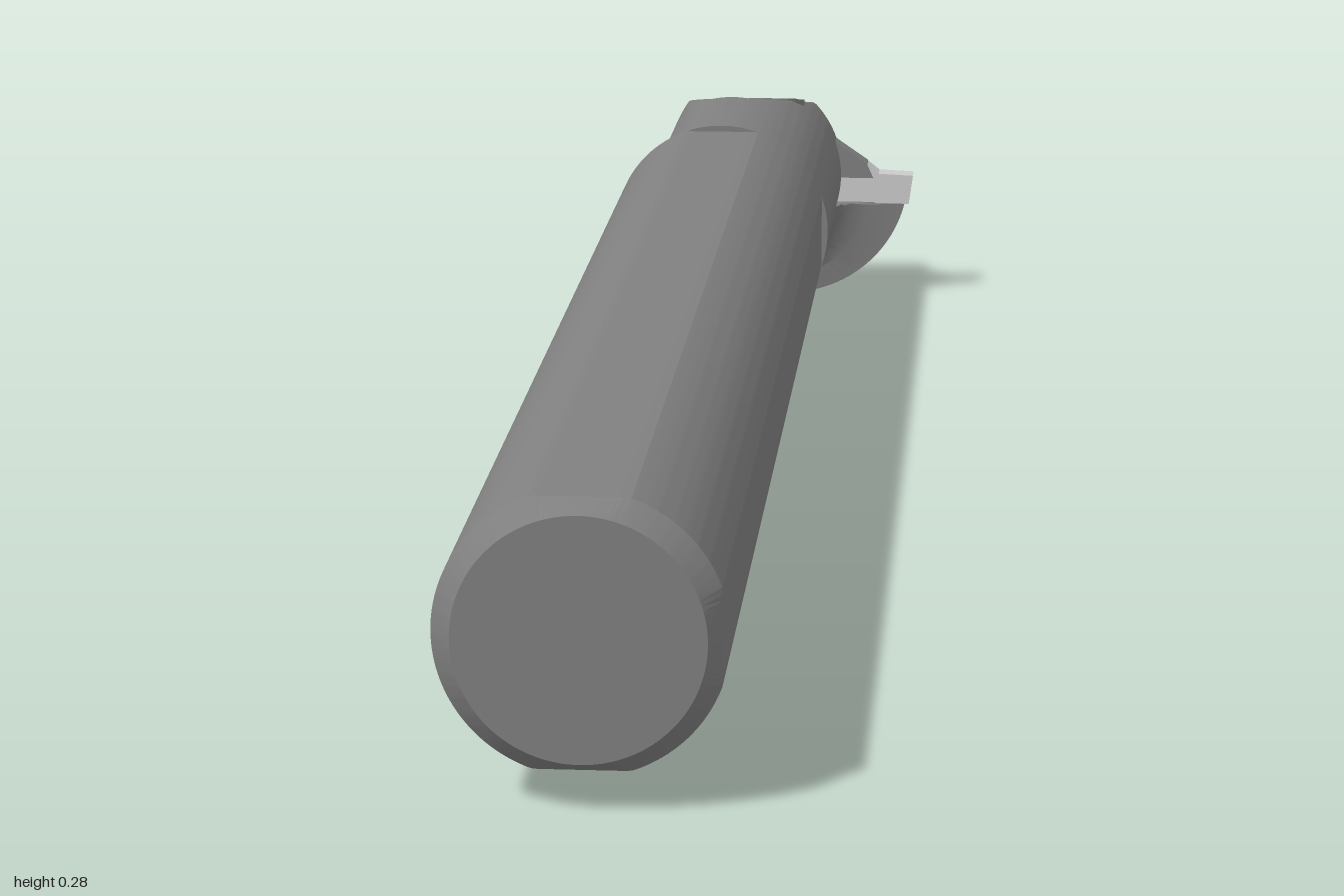
import * as THREE from 'three';
import { toCreasedNormals } from 'three/addons/utils/BufferGeometryUtils.js';

const steel = new THREE.MeshStandardMaterial({ color: 0x808080 });
const carbide = new THREE.MeshStandardMaterial({ color: 0xcccccc });

// Limits of a cross-section: distance from c along (dx, dy) to a circle or a straight edge
const circle = (x, y, radius) => (c, dx, dy) => {
  const ox = c[0] - x, oy = c[1] - y, b = ox * dx + oy * dy;
  return -b + Math.sqrt(b * b - ox * ox - oy * oy + radius * radius);
};
const edge = (nx, ny, k) => (c, dx, dy) => {
  const d = nx * dx + ny * dy;
  return d > 1e-6 ? (k - nx * c[0] - ny * c[1]) / d : Infinity;
};

// Solid through sections running from +z to -z; each section is { z, limits }
function loft(c, sections, n = 144) {
  const pos = [], index = [], last = (sections.length - 1) * n;
  for (const { z, limits } of sections) {
    for (let i = 0; i < n; i++) {
      const a = (i / n) * Math.PI * 2, dx = Math.cos(a), dy = Math.sin(a);
      const r = Math.min(...limits.map(f => f(c, dx, dy)));
      pos.push(c[0] + dx * r, c[1] + dy * r, z);
    }
  }
  const front = pos.length / 3, back = front + 1;
  pos.push(c[0], c[1], sections[0].z, c[0], c[1], sections[sections.length - 1].z);
  for (let i = 0; i < n; i++) {
    const j = (i + 1) % n;
    for (let k = 0; k < last; k += n) {
      index.push(k + i, k + n + i, k + j, k + j, k + n + i, k + n + j);
    }
    index.push(front, i, j, back, last + j, last + i);
  }
  const g = new THREE.BufferGeometry();
  g.setAttribute('position', new THREE.Float32BufferAttribute(pos, 3));
  g.setIndex(index);
  return toCreasedNormals(g, 0.2);
}

function plate(points, z0, z1) {
  const shape = new THREE.Shape(points.map(p => new THREE.Vector2(...p)));
  return new THREE.ExtrudeGeometry(shape, { depth: z1 - z0, bevelEnabled: false }).translate(0, 0, z0);
}

export function createModel() {
  const group = new THREE.Group();
  const add = (name, geometry, material = steel) => {
    const mesh = new THREE.Mesh(geometry, material);
    mesh.name = name;
    group.add(mesh);
    return mesh;
  };

  const axis = [-0.047, 0.153];
  const round = circle(...axis, 0.125);
  const disc = circle(0.01, 0.153, 0.152);

  // Shank: round bar with three flats and a chamfered end
  const flats = [round, edge(0, 1, 0.271), edge(0, -1, -0.035), edge(1, 0, 0.071)];
  add('shank', loft(axis, [
    { z: 1, limits: [circle(...axis, 0.107)] },
    { z: 0.98, limits: flats },
    { z: -0.63, limits: flats },
  ]));

  // Rounded corner on the outer end of the head
  const corner = z => {
    const t = Math.max(0, (-0.95 - z) / 0.05);
    return edge(-1, 0, 0.142 - 0.045 * (1 - Math.sqrt(Math.max(0, 1 - t * t))));
  };

  // Neck and head: relieved on one side, with a sloping clamp face on top
  const headSections = [{ z: -0.63, limits: [round, disc] }, { z: -0.819, limits: [round, disc] }];
  for (let i = 0; i <= 30; i++) {
    const z = -0.82 - 0.006 * i;
    headSections.push({ z, limits: [round, disc, edge(0, 1, 0.275 - 0.035 * i / 30), corner(z)] });
  }
  add('neckAndHead', loft(axis, headSections));

  // Support flange under the insert, with a fillet into the neck
  const flangeSections = [];
  for (let i = 0; i <= 8; i++) {
    const s = i / 8, t = 1 - Math.sqrt(1 - s * s);
    const blend = (c, dx, dy) => {
      const r0 = Math.min(round(c, dx, dy), disc(c, dx, dy));
      return r0 + (disc(c, dx, dy) - r0) * t;
    };
    const z = -0.945 - 0.03 * s;
    flangeSections.push({ z, limits: [blend, edge(0, 1, 0.119), corner(z)] });
  }
  for (const z of [-0.985, -0.995, -1]) {
    flangeSections.push({ z, limits: [disc, edge(0, 1, 0.119), corner(z)] });
  }
  add('supportFlange', loft([0, 0.09], flangeSections));

  // Clamp lip holding the insert from above
  add('clampLip', plate([[0.03, 0.15], [0.118, 0.15], [0.11, 0.168], [0.075, 0.192], [0.03, 0.225]], -1, -0.97));

  // Cutting insert
  add('cuttingInsert', plate([
    [-0.02, 0.132], [0.03, 0.12], [0.163, 0.117], [0.168, 0.153],
    [0.125, 0.155], [0.11, 0.167], [0.03, 0.168], [-0.02, 0.16],
  ], -1.002, -0.973), carbide);

  // Clamp screw: seat ring and head with a six-lobed socket, lying on the slope
  const screw = new THREE.Group();
  screw.name = 'clampScrew';
  screw.position.set(-0.005, 0.2526, -0.935);
  screw.rotation.x = -Math.PI / 2 - 0.192;
  const ringShape = new THREE.Shape().absarc(0, 0, 0.039, 0, Math.PI * 2);
  ringShape.holes.push(new THREE.Path().absarc(0, 0, 0.034, 0, Math.PI * 2, true));
  const headShape = new THREE.Shape().absarc(0, 0, 0.031, 0, Math.PI * 2);
  const lobes = [];
  for (let i = 0; i < 48; i++) {
    const a = -(i / 48) * Math.PI * 2, r = 0.016 + 0.003 * Math.cos(6 * a);
    lobes.push(new THREE.Vector2(r * Math.cos(a), r * Math.sin(a)));
  }
  headShape.holes.push(new THREE.Path(lobes));
  [['screwSeat', ringShape, 0.002], ['screwHead', headShape, 0.003]].forEach(([name, shape, top]) => {
    const g = new THREE.ExtrudeGeometry(shape, { depth: 0.02, bevelEnabled: false, curveSegments: 32 });
    const mesh = new THREE.Mesh(toCreasedNormals(g.translate(0, 0, top - 0.02), 0.5), steel);
    mesh.name = name;
    screw.add(mesh);
  });
  group.add(screw);

  return group;
}
